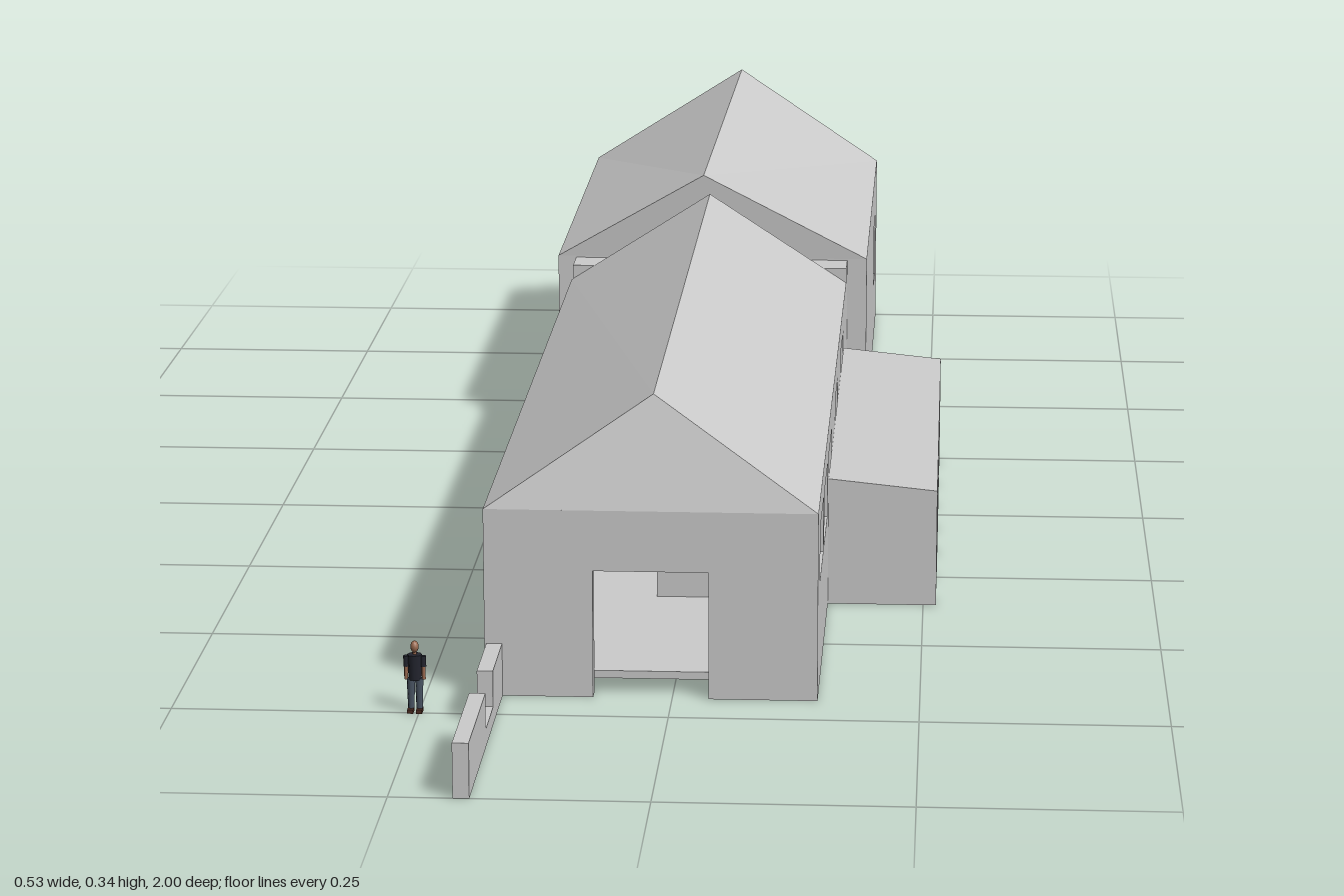
import * as THREE from 'three';

const grey = new THREE.MeshStandardMaterial({ color: 0xcccccc, flatShading: true, side: THREE.DoubleSide });
const paint = (color) => new THREE.MeshStandardMaterial({ color });
const T = 0.017; // wall thickness

function add(parent, name, geometry, material = grey) {
  const mesh = new THREE.Mesh(geometry, material);
  mesh.name = name;
  parent.add(mesh);
  return mesh;
}

// Box given by its limits on each axis
function block(parent, name, [x0, x1], [y0, y1], [z0, z1], material) {
  const mesh = add(parent, name, new THREE.BoxGeometry(x1 - x0, y1 - y0, z1 - z0), material);
  mesh.position.set((x0 + x1) / 2, (y0 + y1) / 2, (z0 + z1) / 2);
  return mesh;
}

function rectHole(u0, u1, v0, v1) {
  return new THREE.Path([[u0, v0], [u0, v1], [u1, v1], [u1, v0]].map((p) => new THREE.Vector2(...p)));
}

// Wall panel from u0 to u1; openings are [u0, u1, y0, y1], reaching the ground if y0 is 0
function panel(u0, u1, height, openings) {
  const s = new THREE.Shape();
  s.moveTo(u0, 0);
  for (const [a, b, y0, y1] of openings) {
    if (y0 === 0) s.lineTo(a, 0).lineTo(a, y1).lineTo(b, y1).lineTo(b, 0);
    else s.holes.push(rectHole(a, b, y0, y1));
  }
  s.lineTo(u1, 0).lineTo(u1, height).lineTo(u0, height);
  return new THREE.ExtrudeGeometry(s, { depth: T, bevelEnabled: false });
}

function sideWall(parent, name, x, z0, z1, height, openings = []) {
  const mesh = add(parent, name, panel(z0, z1, height, openings));
  mesh.rotation.y = -Math.PI / 2;
  mesh.position.x = x > 0 ? x : x + T;
}

function endWall(parent, name, z, x0, x1, height, openings = []) {
  add(parent, name, panel(x0, x1, height, openings)).position.z = z;
}

// Pitched roof between four eave corners and two ridge ends
function roof(parent, name, x0, x1, eave, zf, zb, r, s) {
  const a = [x0, eave, zf], b = [x1, eave, zf], c = [x1, eave, zb], d = [x0, eave, zb];
  const faces = [[a, b, r], [b, c, r], [r, c, s], [c, d, s], [d, a, r], [d, r, s], [a, d, c], [a, c, b]];
  const geometry = new THREE.BufferGeometry();
  geometry.setAttribute('position', new THREE.Float32BufferAttribute(faces.flat(2), 3));
  geometry.computeVertexNormals();
  add(parent, name, geometry);
}

// Raised floor slab with rectangular pits
function floor(parent, x0, x1, z0, z1, pits = []) {
  const s = new THREE.Shape([[x0, -z1], [x1, -z1], [x1, -z0], [x0, -z0]].map((p) => new THREE.Vector2(...p)));
  for (const [a, b, c, d] of pits) s.holes.push(rectHole(a, b, -d, -c));
  const mesh = add(parent, 'floor', new THREE.ExtrudeGeometry(s, { depth: 0.008, bevelEnabled: false }));
  mesh.rotation.x = -Math.PI / 2;
  mesh.position.y = 0.015;
}

function frontHall() {
  const g = new THREE.Group();
  g.name = 'frontHall';
  const x0 = -0.19, x1 = 0.147, zf = 0.69, zb = -0.34, h = 0.196;
  sideWall(g, 'leftWall', x1, zb, zf, h, [
    [0.52, 0.63, 0.107, 0.166], [0.387, 0.5, 0.107, 0.166], [0.24, 0.337, 0.03, 0.166],
    [0.016, 0.11, 0.03, 0.166], [-0.214, -0.096, 0.03, 0.166], [-0.32, -0.235, 0.037, 0.118],
  ]);
  sideWall(g, 'rightWall', x0, zb, zf, h, [[-0.325, -0.255, 0.03, 0.165]]);
  endWall(g, 'frontWall', zf - T, x0, x1, h, [[-0.08, 0.037, 0, 0.133]]);
  roof(g, 'hallRoof', x0, x1, h, zf, zb, [-0.02, 0.31, 0.66], [-0.02, 0.305, zb]);

  // Hollow counters inside, open at the bottom through the floor
  const counters = [[-0.03, 0.037, 0.32, 0.41, 0.087], [-0.13, -0.06, 0.045, 0.135, 0.09], [-0.015, 0.03, -0.225, -0.175, 0.095]];
  floor(g, x0 + T, x1 - T, zb, zf - T, counters);
  for (const [a, b, c, d, top] of counters) {
    const w = 0.004, y = [0.015, top];
    block(g, 'counterSide', [a - w, a], y, [c, d]);
    block(g, 'counterSide', [b, b + w], y, [c, d]);
    block(g, 'counterEnd', [a - w, b + w], y, [c - w, c]);
    block(g, 'counterEnd', [a - w, b + w], y, [d, d + w]);
    block(g, 'counterTop', [a - w, b + w], [top, top + w], [c - w, d + w]);
  }
  return g;
}

function rearHouse() {
  const g = new THREE.Group();
  g.name = 'rearHouse';
  const x0 = -0.21, x1 = 0.171, zf = -0.385, zb = -1, h = 0.216;
  sideWall(g, 'leftWall', x1, zb, zf, h, [[-0.925, -0.83, 0.075, 0.157]]);
  sideWall(g, 'rightWall', x0, zb, zf, h, [[-0.87, -0.775, 0.08, 0.165], [-0.545, -0.5, 0.08, 0.16]]);
  endWall(g, 'backWall', zb, x0, x1, h, [[0.025, 0.082, 0.025, 0.15]]);
  endWall(g, 'frontWall', zf - T, x0, x1, h, [[-0.08, 0.037, 0, 0.133]]);
  roof(g, 'houseRoof', x0, x1, h, zf, zb, [-0.03, 0.32, -0.38], [-0.013, 0.343, -0.985]);
  floor(g, x0 + T, x1 - T, zb + T, zf - T);
  // Partitions
  block(g, 'partition', [0.05, 0.058], [0, h], [-0.72, -0.45]);
  block(g, 'partition', [0.05, 0.154], [0, h], [-0.62, -0.612]);
  block(g, 'partition', [-0.193, -0.03], [0, h], [-0.75, -0.742]);
  return g;
}

// Flat-roofed link between the two buildings
function link() {
  const g = new THREE.Group();
  g.name = 'link';
  const x0 = -0.188, x1 = 0.147, z0 = -0.385, z1 = -0.34;
  sideWall(g, 'linkLeftWall', x1, z0, z1, 0.214);
  sideWall(g, 'linkRightWall', x0, z0, z1, 0.214);
  block(g, 'linkRoof', [x0 + T, x1 - T], [0.2, 0.214], [z0, z1]);
  block(g, 'linkFloor', [x0 + T, x1 - T], [0.015, 0.023], [z0, z1]);
  return g;
}

// Sloping canopy carried by a row of upright fins
function canopy() {
  const g = new THREE.Group();
  g.name = 'canopy';
  const xi = 0.147, xo = 0.264, zf = 0.355, zb = -0.235, fins = 7, t = 0.02;
  const profile = (pts, depth) => new THREE.ExtrudeGeometry(
    new THREE.Shape(pts.map((p) => new THREE.Vector2(...p))), { depth, bevelEnabled: false });
  add(g, 'canopyRoof', profile([[xi, 0.129], [xo, 0.117], [xo, 0.128], [xi, 0.14]], zf - zb)).position.z = zb;
  const fin = profile([[xi, 0], [xo, 0], [xo, 0.117], [xi, 0.129]], t);
  for (let i = 0; i < fins; i++) {
    add(g, 'fin', fin).position.z = zb + (i * (zf - zb - t)) / (fins - 1);
  }
  return g;
}

function gardenWall() {
  const g = new THREE.Group();
  g.name = 'gardenWall';
  const x = [-0.188, -0.172];
  block(g, 'wallSection', x, [0, 0.055], [0.69, 0.78]);
  block(g, 'wallGap', x, [0, 0.018], [0.78, 0.85]);
  block(g, 'wallSection', x, [0, 0.055], [0.85, 1]);
  return g;
}

// Small standing figure for scale
function person() {
  const g = new THREE.Group();
  g.name = 'person';
  const shirt = paint(0x23252f), jeans = paint(0x4a5564), skin = paint(0x9a6a50), shoe = paint(0x4a2a20);
  const limb = (name, r0, r1, len, x, y, mat) =>
    add(g, name, new THREE.CylinderGeometry(r0, r1, len, 8), mat).position.set(x, y, 0);
  for (const s of [-1, 1]) {
    limb('leg', 0.0042, 0.0032, 0.031, s * 0.0042, 0.0195, jeans);
    block(g, 'shoe', [s * 0.0045 - 0.003, s * 0.0045 + 0.003], [0, 0.004], [-0.004, 0.008], shoe);
    limb('sleeve', 0.003, 0.003, 0.011, s * 0.0085, 0.053, shirt);
    limb('forearm', 0.002, 0.002, 0.014, s * 0.0088, 0.041, skin);
  }
  limb('torso', 0.0075, 0.0065, 0.026, 0, 0.047, shirt);
  limb('neck', 0.002, 0.002, 0.005, 0, 0.062, skin);
  const head = add(g, 'head', new THREE.SphereGeometry(0.005, 10, 8), skin);
  head.position.y = 0.068;
  head.scale.set(0.85, 1.2, 1);
  g.position.set(-0.254, 0, 0.745);
  return g;
}

export function createModel() {
  const model = new THREE.Group();
  model.name = 'longHouse';
  model.add(frontHall(), link(), rearHouse(), canopy(), gardenWall(), person());
  return model;
}
